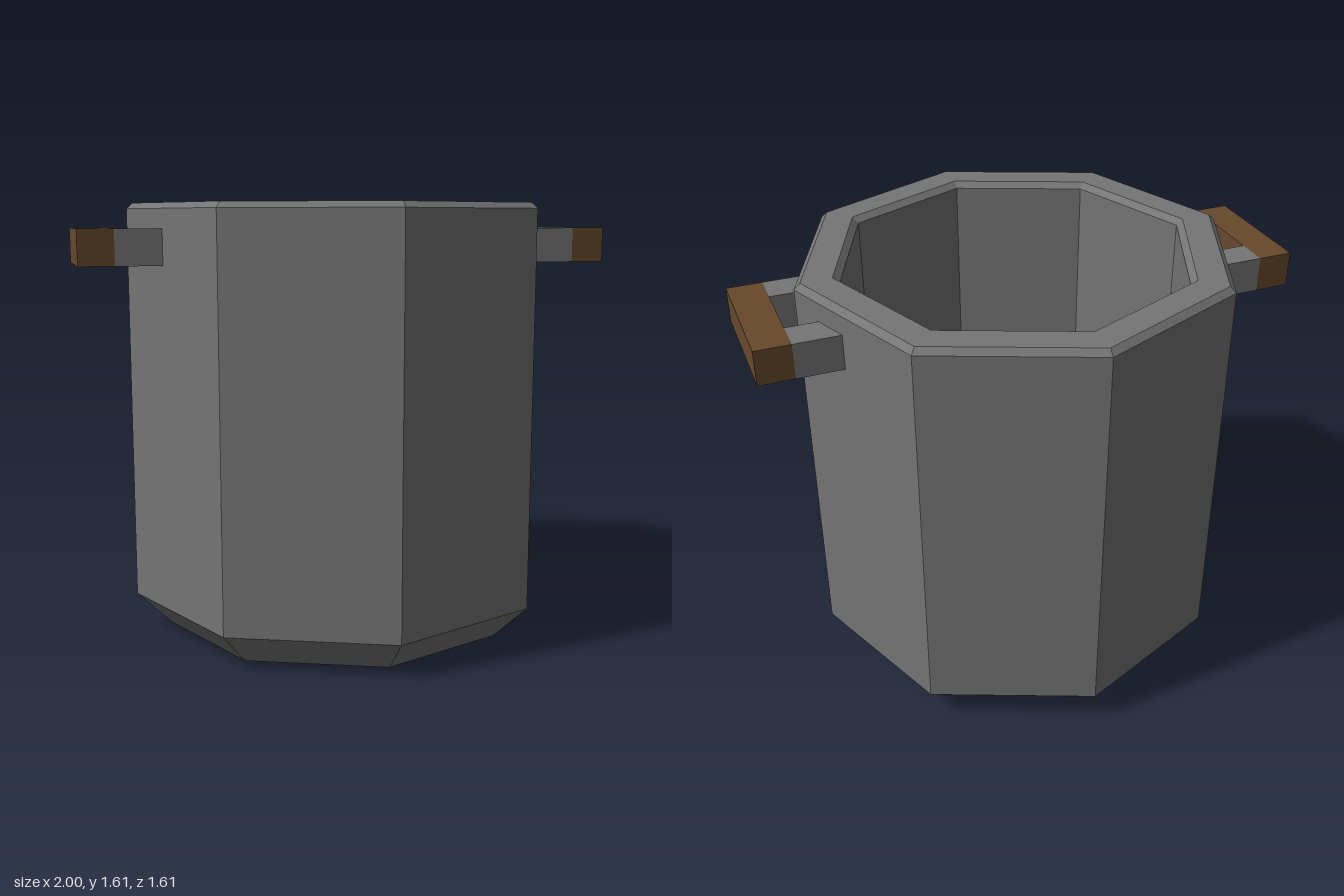
import * as THREE from 'three';

const metal = new THREE.MeshStandardMaterial({ color: 0x757575, flatShading: true });
metal.name = 'grey metal';
const wood = new THREE.MeshStandardMaterial({ color: 0x67492c, flatShading: true });
wood.name = 'brown wood';

// Box given by its minimum and maximum corners
function box(name, material, min, max) {
  const size = max.map((v, i) => v - min[i]);
  const mesh = new THREE.Mesh(new THREE.BoxGeometry(...size), material);
  mesh.position.set(...max.map((v, i) => (v + min[i]) / 2));
  mesh.name = name;
  return mesh;
}

// Side handle: a wooden grip on two metal brackets
function handle(name) {
  const group = new THREE.Group();
  group.name = name;
  const bottom = 1.392, top = 1.522;
  group.add(box('grip', wood, [0.872, bottom, -0.24], [1, top, 0.24]));
  group.add(box('frontBracket', metal, [0.7, bottom, 0.12], [0.872, top, 0.24]));
  group.add(box('backBracket', metal, [0.7, bottom, -0.24], [0.872, top, -0.12]));
  return group;
}

export function createModel() {
  const model = new THREE.Group();
  model.name = 'cookingPot';

  // Octagonal hollow body: base, chamfer, wall, bevelled rim, inner wall, floor
  const profile = [
    [0, 0], [0.675, 0], [0.805, 0.128], [0.805, 1.592], [0.782, 1.613],
    [0.67, 1.613], [0.646, 1.592], [0.646, 0.128], [0, 0.128],
  ].map(([r, y]) => new THREE.Vector2(r, y));
  const body = new THREE.Mesh(new THREE.LatheGeometry(profile, 8), metal);
  body.name = 'potBody';
  model.add(body);

  // Handles on both sides
  const left = handle('leftHandle');
  const right = handle('rightHandle');
  right.rotation.y = Math.PI;
  model.add(left, right);

  return model;
}
